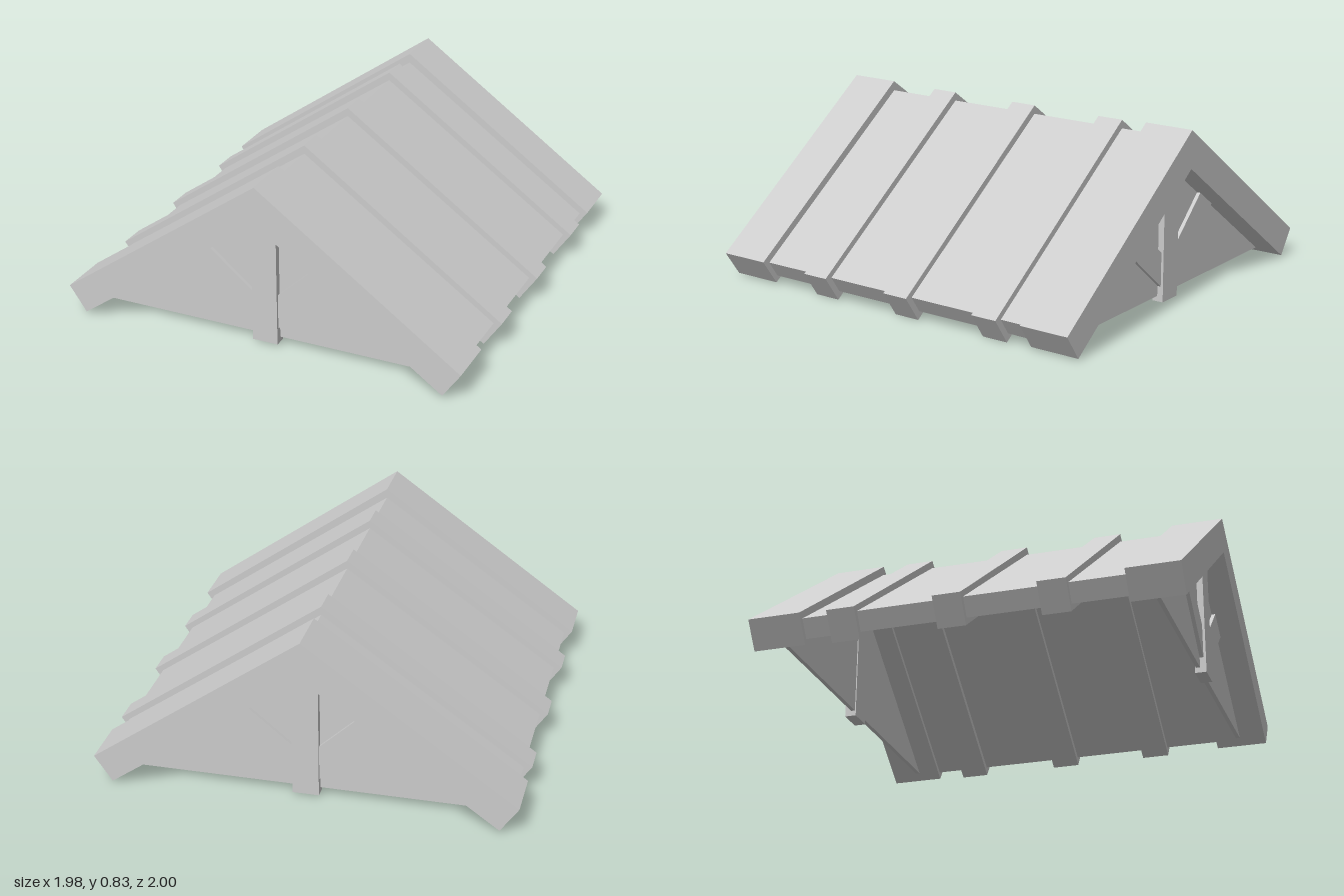
import * as THREE from 'three';

const material = new THREE.MeshStandardMaterial({ color: 0xcccccc, flatShading: true });

// Extrude a closed outline from z0 to z1
function slab(name, points, z0, z1) {
  const shape = new THREE.Shape(points.map(([x, y]) => new THREE.Vector2(x, y)));
  const geometry = new THREE.ExtrudeGeometry(shape, { depth: z1 - z0, bevelEnabled: false });
  geometry.translate(0, 0, z0);
  const mesh = new THREE.Mesh(geometry, material);
  mesh.name = name;
  return mesh;
}

// Inverted V with eaves cut square to the slope
function chevron(name, [topY, eaveX, eaveY, footX, footY, underY], z0, z1) {
  return slab(name, [
    [0, topY], [-eaveX, eaveY], [-footX, footY],
    [0, underY], [footX, footY], [eaveX, eaveY],
  ], z0, z1);
}

// Gable wall with king post and two diagonal braces
function createGable() {
  const gable = new THREE.Group();
  gable.name = 'gable';
  gable.add(
    slab('gableWall', [[-0.9, 0.036], [0.9, 0.036], [0, 0.68]], 0.855, 0.875),
    slab('kingPost', [[-0.07, 0.01], [0.055, 0.01], [0.055, 0.64], [-0.07, 0.64]], 0.85, 0.905),
    slab('leftBrace', [[0.04, 0.075], [0.40, 0.403], [0.29, 0.479], [0.04, 0.246]], 0.865, 0.893),
    slab('rightBrace', [[-0.06, 0.077], [-0.06, 0.242], [-0.32, 0.456], [-0.43, 0.381]], 0.865, 0.893),
  );
  return gable;
}

export function createModel() {
  const roof = new THREE.Group();
  roof.name = 'gableRoof';

  // Roof panels between the end frames
  roof.add(chevron('roofPanels', [0.788, 0.95, 0.119, 0.897, 0.04, 0.676], -0.8, 0.8));

  // Raised ribs across the ridge
  for (const z of [-0.555, -0.055, 0.425]) {
    roof.add(chevron('rib', [0.829, 0.99, 0.124, 0.905, 0, 0.645], z - 0.066, z + 0.066));
  }

  // Heavy end frames, each enclosing a recessed gable
  for (const angle of [0, Math.PI]) {
    const end = new THREE.Group();
    end.name = angle ? 'backEnd' : 'frontEnd';
    end.add(chevron('endFrame', [0.835, 0.99, 0.13, 0.905, 0.008, 0.652], 0.752, 1), createGable());
    end.rotation.y = angle;
    roof.add(end);
  }
  return roof;
}
